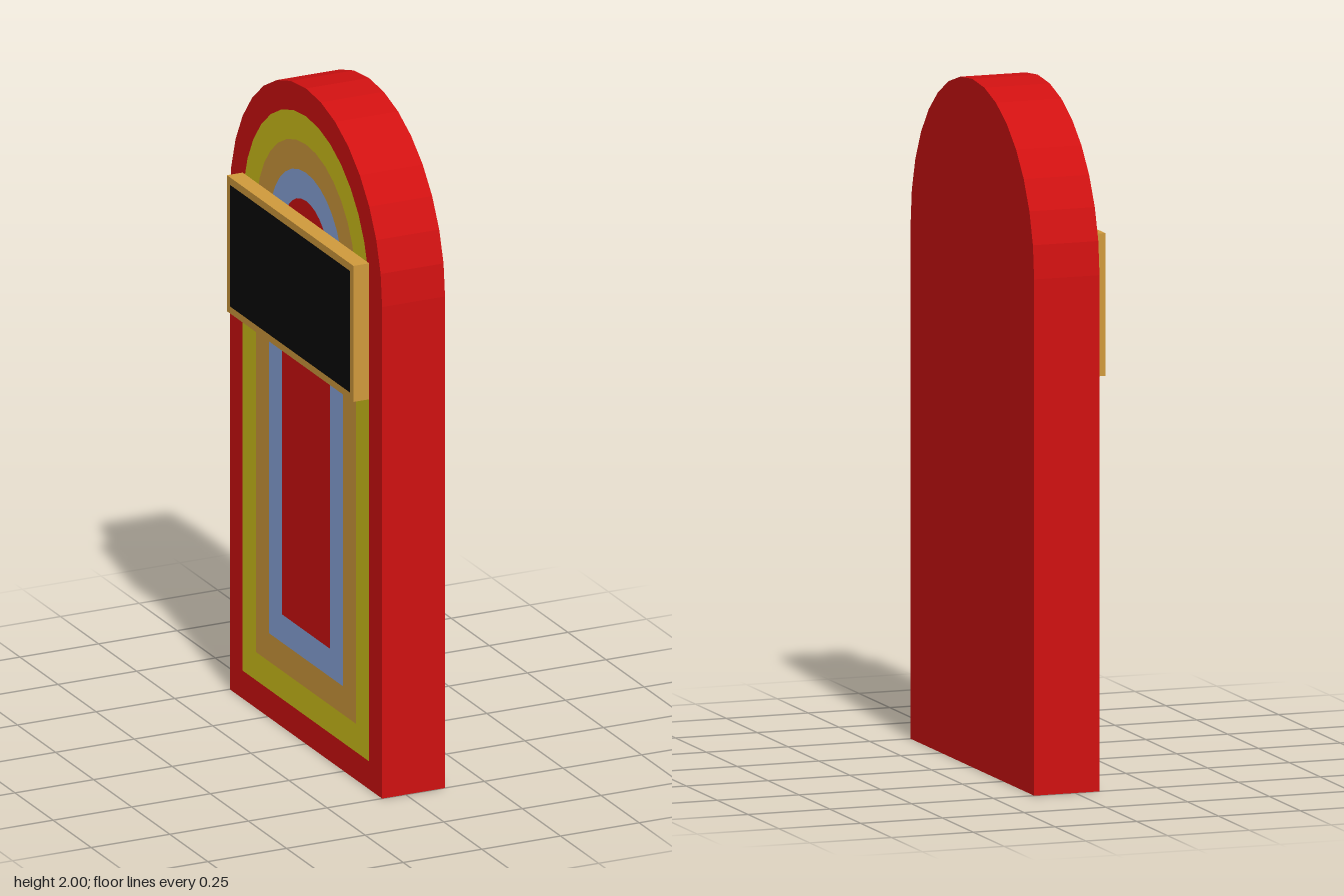
import * as THREE from 'three';

const X_FACE = -0.075, X_BACK = 0.125, HALF = 0.5, SPRING = 1.5, SEGMENTS = 16;

const material = (color) => new THREE.MeshStandardMaterial({ color, side: THREE.DoubleSide, flatShading: true });

// Outline of the arched board, moved inwards by an even inset
function archPoints(inset) {
  const r = HALF - inset;
  const points = [new THREE.Vector2(r, inset)];
  for (let i = 0; i <= SEGMENTS; i++) {
    const a = (i / SEGMENTS) * Math.PI;
    points.push(new THREE.Vector2(r * Math.cos(a), SPRING + r * Math.sin(a)));
  }
  points.push(new THREE.Vector2(-r, inset));
  return points;
}

// Flat arch, optionally with a smaller arch cut out of it
function archGeometry(inset, holeInset) {
  const shape = new THREE.Shape(archPoints(inset));
  if (holeInset !== undefined) shape.holes.push(new THREE.Path(archPoints(holeInset).reverse()));
  return new THREE.ShapeGeometry(shape);
}

// Strip round the sides and top; the underside stays open
function rimGeometry() {
  const points = archPoints(0);
  const positions = [];
  for (let i = 0; i < points.length - 1; i++) {
    const p = points[i], q = points[i + 1];
    const a = [X_FACE, p.y, p.x], b = [X_BACK, p.y, p.x];
    const c = [X_BACK, q.y, q.x], d = [X_FACE, q.y, q.x];
    positions.push(...a, ...b, ...c, ...a, ...c, ...d);
  }
  const geometry = new THREE.BufferGeometry();
  geometry.setAttribute('position', new THREE.Float32BufferAttribute(positions, 3));
  geometry.computeVertexNormals();
  return geometry;
}

export function createModel() {
  const group = new THREE.Group();
  const red = material(0xd01111);
  const yellow = material(0xd0c01a);
  const tan = material(0xd09a3c);
  const blue = material(0x8aa6dc);
  const black = material(0x080808);

  const add = (name, geometry, mat, x = 0, y = 0, turn = 0) => {
    const mesh = new THREE.Mesh(geometry, mat);
    mesh.name = name;
    mesh.position.set(x, y, 0);
    mesh.rotation.y = turn;
    group.add(mesh);
  };

  // Hollow arched body
  add('rim', rimGeometry(), red);
  add('plainPanel', archGeometry(0), red, X_BACK, 0, Math.PI / 2);

  // Decorated panel: concentric bands lying in one plane
  const bands = [
    ['outerBand', 0, red],
    ['yellowBand', 0.085, yellow],
    ['tanBand', 0.171, tan],
    ['blueBand', 0.257, blue],
    ['centrePanel', 0.343, red],
  ];
  bands.forEach(([name, inset, mat], i) => {
    add(name, archGeometry(inset, bands[i + 1]?.[1]), mat, X_FACE, 0, -Math.PI / 2);
  });

  // Screen mounted across the decorated panel
  const bottom = 1.19, top = 1.605, width = 0.83, depth = 0.05, border = 0.022;
  const height = top - bottom, middle = (top + bottom) / 2;
  add('screenFrame', new THREE.BoxGeometry(depth, height, width), tan, X_FACE - depth / 2, middle);
  add('screen', new THREE.PlaneGeometry(width - 2 * border, height - 2 * border), black,
    X_FACE - depth - 0.001, middle, -Math.PI / 2);

  return group;
}
